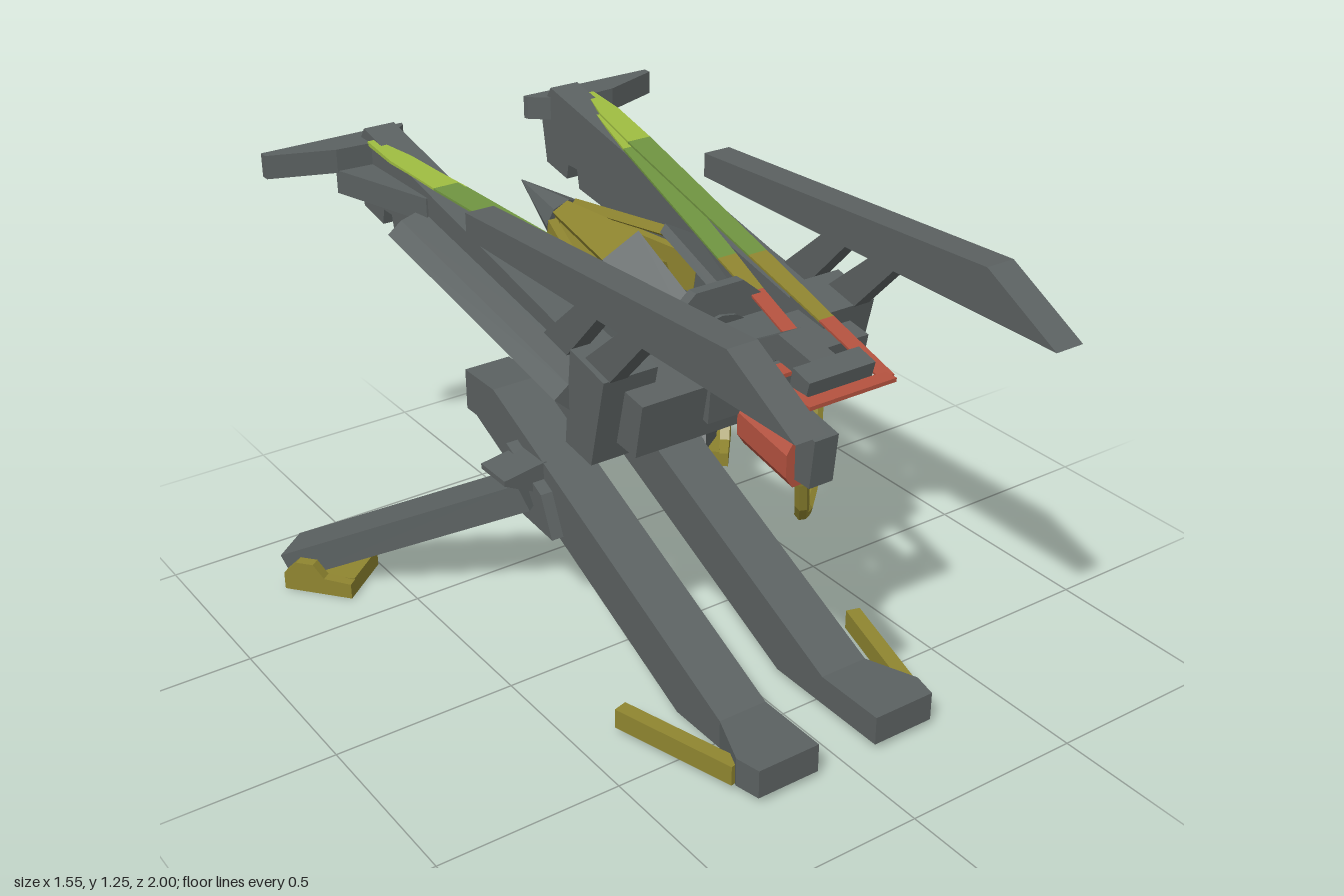
import * as THREE from 'three';

const mat = (name, color) => {
  const m = new THREE.MeshStandardMaterial({ color });
  m.name = name;
  return m;
};

export function createModel() {
  const model = new THREE.Group();
  const gray = mat('gunmetal', 0x5b6161);
  const olive = mat('olive', 0x8f8530);
  const red = mat('brick red', 0xb4523f);
  const lime = mat('lime', 0x9dbb40);
  const green = mat('leaf green', 0x6f9340);

  const add = (name, geo, material, parent = model) => {
    const m = new THREE.Mesh(geo, material);
    m.name = name;
    parent.add(m);
    return m;
  };
  const shapeOf = pts => new THREE.Shape(pts.map(p => new THREE.Vector2(p[0], p[1])));
  const extrude = (pts, depth) => new THREE.ExtrudeGeometry(shapeOf(pts), { depth, bevelEnabled: false });

  // Raise y in proportion to z, so a part follows the tilted rails
  const shear = (geo, y0, slope) => {
    const p = geo.attributes.position;
    for (let i = 0; i < p.count; i++) p.setY(i, p.getY(i) + y0 + p.getZ(i) * slope);
    geo.computeVertexNormals();
    return geo;
  };
  // Side profile of [z, y] points, spanning x0..x1
  const side = (name, pts, x0, x1, material = gray, parent = model) => {
    const lo = Math.min(x0, x1), hi = Math.max(x0, x1);
    return add(name, extrude(pts, hi - lo).rotateY(-Math.PI / 2).translate(hi, 0, 0), material, parent);
  };
  // Floor plan of [x, z] points, spanning y0..y1
  const plan = (name, pts, y0, y1, material = gray) =>
    add(name, extrude(pts, y1 - y0).rotateX(Math.PI / 2).translate(0, y1, 0), material);
  // Front outline of [x, y] points, spanning z0..z1
  const front = (name, pts, z0, z1, material = gray) =>
    add(name, extrude(pts, z1 - z0).translate(0, 0, z0), material);
  // Straight bar from a to b
  const beam = (name, a, b, w, h, material = gray) => {
    const A = new THREE.Vector3(...a), B = new THREE.Vector3(...b);
    const m = add(name, new THREE.BoxGeometry(w, h, A.distanceTo(B)), material);
    m.position.copy(A).add(B).multiplyScalar(0.5);
    m.lookAt(B);
  };
  const box = (name, x0, x1, y0, y1, z0, z1, material = gray) =>
    add(name, new THREE.BoxGeometry(x1 - x0, y1 - y0, z1 - z0)
      .translate((x0 + x1) / 2, (y0 + y1) / 2, (z0 + z1) / 2), material);

  for (const s of [1, -1]) {
    const mx = pts => pts.map(([x, z]) => [s * x, z]);

    // Sloping front legs, open channels underneath
    const wall = [[0.56, 0.11], [0.54, 0.11], [-0.5, 0.58], [-0.65, 0.58], [-0.65, 0.46], [-0.6, 0.46], [0.36, 0.03], [0.56, 0.03]];
    side('legInnerWall', wall, s * 0.09, s * 0.11);
    side('legOuterWall', wall, s * 0.21, s * 0.23);
    side('legTop', [[0.54, 0.11], [-0.5, 0.58], [-0.65, 0.58], [-0.65, 0.53], [-0.49, 0.53], [0.54, 0.07]], s * 0.11, s * 0.21);
    side('legEnd', [[-0.63, 0.46], [-0.65, 0.46], [-0.65, 0.53], [-0.63, 0.53]], s * 0.11, s * 0.21);
    plan('frontFootTop', mx([[0.09, 0.75], [0.27, 0.75], [0.285, 0.68], [0.23, 0.54], [0.09, 0.54]]), 0.09, 0.11);
    plan('frontFootRim', mx([[0.09, 0.54], [0.09, 0.75], [0.27, 0.75], [0.285, 0.68], [0.23, 0.54],
      [0.21, 0.54], [0.26, 0.68], [0.25, 0.73], [0.11, 0.73], [0.11, 0.54]]), 0.03, 0.09);
    beam('frontFootSpade', [s * 0.275, 0.058, 0.67], [s * 0.375, 0.058, 0.32], 0.04, 0.055, olive);

    // Rear outriggers with pivots and foot pads
    beam('outrigger', [s * 0.25, 0.385, -0.285], [s * 0.7, 0.05, -0.835], 0.125, 0.08);
    side('outriggerPivot', [[-0.16, 0.285], [-0.21, 0.4], [-0.38, 0.48], [-0.42, 0.36], [-0.36, 0.3]], s * 0.225, s * 0.265);
    front('pivotEar', mx([[0.22, 0.47], [0.35, 0.45], [0.35, 0.435], [0.25, 0.385], [0.22, 0.385]]), -0.37, -0.25);
    const pad = new THREE.Group();
    pad.name = 'rearFoot';
    pad.position.set(s * 0.64, 0, -0.74);
    pad.rotation.y = Math.atan2(0.63 * s, -0.77);
    model.add(pad);
    side('padBase', [[-0.1, 0.01], [0.1, 0.01], [0.1, 0.04], [-0.1, 0.06]], -0.065, 0.065, olive, pad);
    for (const x of [-0.092, 0.062])
      side('padCheek', [[-0.1, 0.01], [0.1, 0.01], [0.1, 0.06], [0.06, 0.1], [0.01, 0.1], [-0.02, 0.06], [-0.1, 0.055]], x, x + 0.03, olive, pad);

    // Swing arm up to the carriage
    side('swingArm', [[0.1, 0.75], [-0.08, 0.785], [-0.53, 0.585], [-0.53, 0.54], [-0.44, 0.52]], s * 0.045, s * 0.09);

    // Launch rails with stepped rear end
    side('rail', [[0.18, 0.97], [-0.94, 1.215], [-0.995, 1.135], [-0.97, 0.985], [-0.865, 0.965], [-0.855, 1.01],
      [-0.81, 1.01], [-0.8, 0.955], [-0.65, 0.935], [0.16, 0.79]], s * 0.25, s * 0.34);

    // Side pod with a broad sloping underside
    const pod = front('sidePod', mx([[0.33, 0.94], [0.4, 0.92], [0.44, 0.89], [0.33, 0.79]]), -0.64, 0.16);
    shear(pod.geometry, 0.029, -0.18);
    side('railFrontBlock', [[0.31, 0.985], [0.17, 1.015], [0.14, 0.76], [0.25, 0.745]], s * 0.25, s * 0.4);

    // Long stabiliser beam on two struts
    side('stabiliser', [[1, 1.135], [0.77, 1.255], [-0.295, 1.2], [-0.295, 1.135]], s * 0.32, s * 0.4);
    side('frontStrut', [[0.46, 1.14], [0.37, 1.14], [0.18, 0.98], [0.28, 0.95]], s * 0.335, s * 0.385);
    side('rearStrut', [[0.28, 1.14], [0.19, 1.14], [0.03, 1.0], [0.13, 0.98]], s * 0.335, s * 0.385);

    // Rear fins
    plan('tailFin', mx([[0.196, -1], [0.615, -1], [0.615, -0.975], [0.44, -0.91], [0.3, -0.9], [0.2, -0.985]]), 1.12, 1.185);
    plan('finGusset', mx([[0.33, -0.91], [0.44, -0.92], [0.345, -0.6], [0.33, -0.6]]), 1.06, 1.125);

    // Two flat slings per side, leaf-shaped at the rear and coloured along their length
    for (const [a, b, cut] of [
      [[0.347, 1.196, -0.885], [0.115, 1.008, 0.69], [0, 0.08, 0.2, 0.62, 0.83, 1]],
      [[0.347, 1.19, -0.88], [0.055, 0.995, 0.5], [0, 0.08, 0.23, 0.66, 0.78, 1]]]) {
      const half = [0.012, 0.032, 0.036, 0.028, 0.022, 0.02];
      const slope = (b[1] - a[1]) / (b[2] - a[2]);
      const edge = (i, d) => [a[0] + (b[0] - a[0]) * cut[i] + d * half[i], a[2] + (b[2] - a[2]) * cut[i]];
      [lime, lime, green, olive, red].forEach((m, i) => {
        const strip = plan('sling', mx([edge(i, -1), edge(i, 1), edge(i + 1, 1), edge(i + 1, -1)]), -0.003, 0.003, m);
        shear(strip.geometry, a[1] - a[2] * slope, slope);
      });
    }
  }

  // Sling cups
  box('outerSlingCup', -0.125, 0.125, 1.003, 1.013, 0.67, 0.71, red);
  box('innerSlingCup', -0.065, 0.065, 0.99, 1.0, 0.48, 0.53, red);

  // Hub between the legs, at the foot of the swing arms
  box('hub', -0.09, 0.09, 0.485, 0.575, -0.47, -0.34);
  front('hubCap', [[-0.06, 0.56], [0.06, 0.56], [0.045, 0.61], [0.025, 0.63], [-0.025, 0.63], [-0.045, 0.61]], -0.45, -0.36);

  // Carriage
  side('crossBody', [[0.37, 0.93], [0.2, 0.955], [0.16, 0.8], [0.34, 0.785]], -0.335, 0.335);
  side('frontHousing', [[0.38, 0.93], [0.36, 0.97], [0.2, 0.99], [0.18, 0.86], [0.37, 0.83]], -0.15, 0.15);
  front('rearHousing', [[-0.15, 0.9], [0.15, 0.9], [0.135, 1.03], [0.07, 1.085], [-0.07, 1.085], [-0.135, 1.03]], 0.18, 0.21);
  side('chin', [[0.26, 0.8], [0.18, 0.73], [0.04, 0.715], [-0.16, 0.84], [-0.16, 0.87], [0.2, 0.85]], -0.07, 0.07);
  front('chinPlate', [[-0.125, 0.79], [-0.115, 0.72], [-0.09, 0.75], [-0.07, 0.71], [0.07, 0.71], [0.09, 0.75], [0.115, 0.72], [0.125, 0.79]], 0.03, 0.2);
  side('crossbar', [[0.65, 0.97], [0.67, 1.045], [0.61, 1.06], [0.595, 0.98]], -0.095, 0.095);
  side('crossbarStem', [[0.62, 0.99], [0.62, 1.05], [0.48, 1.075], [0.26, 0.95], [0.34, 0.92], [0.48, 1.01]], -0.035, 0.035);

  // Front grip: arm, red shell and cable plug
  side('gripArm', [[0.61, 0.73], [0.625, 0.86], [0.52, 0.88], [0.3, 0.94], [0.3, 0.8], [0.5, 0.73]], -0.035, 0.035);
  side('gripTopBox', [[0.42, 0.9], [0.42, 0.96], [0.32, 0.97], [0.32, 0.9]], -0.033, 0.033);
  const shell = front('gripShell', [[-0.04, 0.71], [0.04, 0.71], [0.06, 0.74], [0.06, 0.8], [0.04, 0.83],
    [-0.04, 0.83], [-0.06, 0.8], [-0.06, 0.74]], 0.365, 0.555, red);
  shear(shell.geometry, 0.1, -0.18);
  box('cablePlug', 0.045, 0.066, 0.76, 0.782, 0.5, 0.55, olive);

  // Hanging cable
  const cable = new THREE.CatmullRomCurve3([[0.04, 0.74, 0.49], [0.07, 0.58, 0.46], [0.12, 0.51, 0.4], [0.19, 0.49, 0.34],
    [0.26, 0.53, 0.27], [0.3, 0.6, 0.225], [0.333, 0.77, 0.19]].map(p => new THREE.Vector3(...p)));
  const cableGeo = new THREE.TubeGeometry(cable, 9, 0.018, 6).toNonIndexed();
  cableGeo.computeVertexNormals();
  add('cable', cableGeo, olive);

  // Projectile lying between the rails, tip rearward and up
  const dart = new THREE.Group();
  dart.name = 'projectile';
  dart.position.set(0, 0.9, 0.2);
  dart.rotation.x = -1.383;
  model.add(dart);
  const cone = (name, r1, r0, y0, y1, m, n = 8) => {
    const g = new THREE.CylinderGeometry(r1, r0, y1 - y0, n).toNonIndexed().translate(0, (y0 + y1) / 2, 0);
    g.computeVertexNormals();
    add(name, g, m, dart);
  };
  cone('projectileBase', 0.04, 0.115, 0, 0.34, gray, 16);
  cone('projectileCore', 0.05, 0.09, 0.32, 0.67, olive);
  cone('projectileCollar', 0.04, 0.06, 0.65, 0.7, olive);
  cone('projectileTip', 0.002, 0.065, 0.68, 0.91, gray);
  // Six flared petals, each capped at its wide end by a gray blade
  const petal = (len, y0, w0, w1, r0, r1) => {
    const g = new THREE.BoxGeometry(1, len, 0.026);
    const p = g.attributes.position;
    for (let i = 0; i < p.count; i++) {
      const t = p.getY(i) / len + 0.5;
      p.setXYZ(i, p.getX(i) * (w0 + (w1 - w0) * t), y0 + t * len, p.getZ(i) + r0 + (r1 - r0) * t);
    }
    const f = g.toNonIndexed();
    f.computeVertexNormals();
    return f;
  };
  for (let k = 0; k < 6; k++) {
    const a = (k + 0.5) * Math.PI / 3;
    add('petal', petal(0.36, 0.31, 0.115, 0.05, 0.167, 0.055), olive, dart).rotation.y = a;
    add('petalBlade', petal(0.285, 0.03, 0.045, 0.117, 0.125, 0.169), gray, dart).rotation.y = a;
  }
  return model;
}
